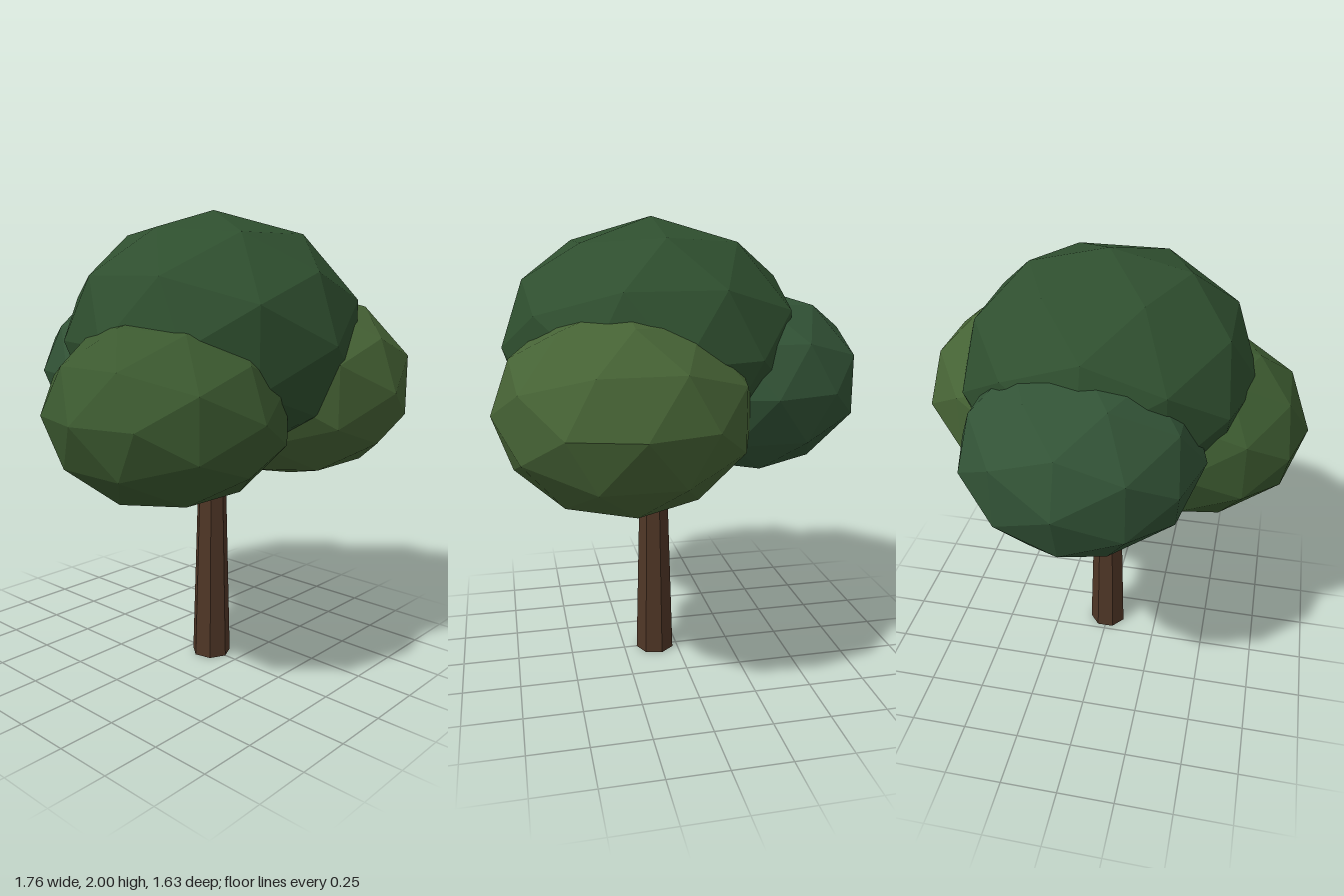
import * as THREE from 'three';

const material = (color) => new THREE.MeshStandardMaterial({ color, flatShading: true });

export function createModel() {
  const tree = new THREE.Group();
  tree.name = 'tree';
  const bark = material(0x4f3626);
  const trunkZ = 0.103;

  // Tapered seven-sided limb between two points
  function limb(name, from, to, bottomRadius, topRadius, sides) {
    const a = new THREE.Vector3(...from);
    const axis = new THREE.Vector3(...to).sub(a);
    const geometry = new THREE.CylinderGeometry(topRadius, bottomRadius, axis.length(), sides);
    const mesh = new THREE.Mesh(geometry, bark);
    mesh.name = name;
    mesh.position.copy(a).addScaledVector(axis, 0.5);
    mesh.quaternion.setFromUnitVectors(new THREE.Vector3(0, 1, 0), axis.normalize());
    tree.add(mesh);
  }

  limb('trunk', [0, 0, trunkZ], [0, 1.15, trunkZ], 0.088, 0.055, 7);

  // Short branches reaching into the foliage
  limb('leftBranch', [0, 0.8, trunkZ], [0.22, 1.1, 0.17], 0.037, 0.025, 5);
  limb('rightBranch', [0, 0.8, trunkZ], [-0.22, 1.1, 0.15], 0.037, 0.025, 5);
  limb('backBranch', [0, 0.86, trunkZ], [0.02, 1.2, -0.12], 0.037, 0.025, 5);

  // Squashed faceted foliage: name, centre, horizontal radius, vertical radius, colour
  const foliage = [
    ['crown', [0, 1.463, 0.106], 0.646, 0.537, 0x2f4f2f],
    ['leftFoliage', [0.35, 1.25, 0.28], 0.531, 0.424, 0x466335],
    ['rightFoliage', [-0.375, 1.2, 0.2], 0.507, 0.4, 0x3c5a30],
    ['backFoliage', [0.03, 1.3, -0.305], 0.511, 0.41, 0x325336],
  ];
  for (const [name, centre, radius, height, color] of foliage) {
    const geometry = new THREE.IcosahedronGeometry(1, 1).scale(radius, height, radius);
    const mesh = new THREE.Mesh(geometry, material(color));
    mesh.name = name;
    mesh.position.set(...centre);
    tree.add(mesh);
  }

  return tree;
}
